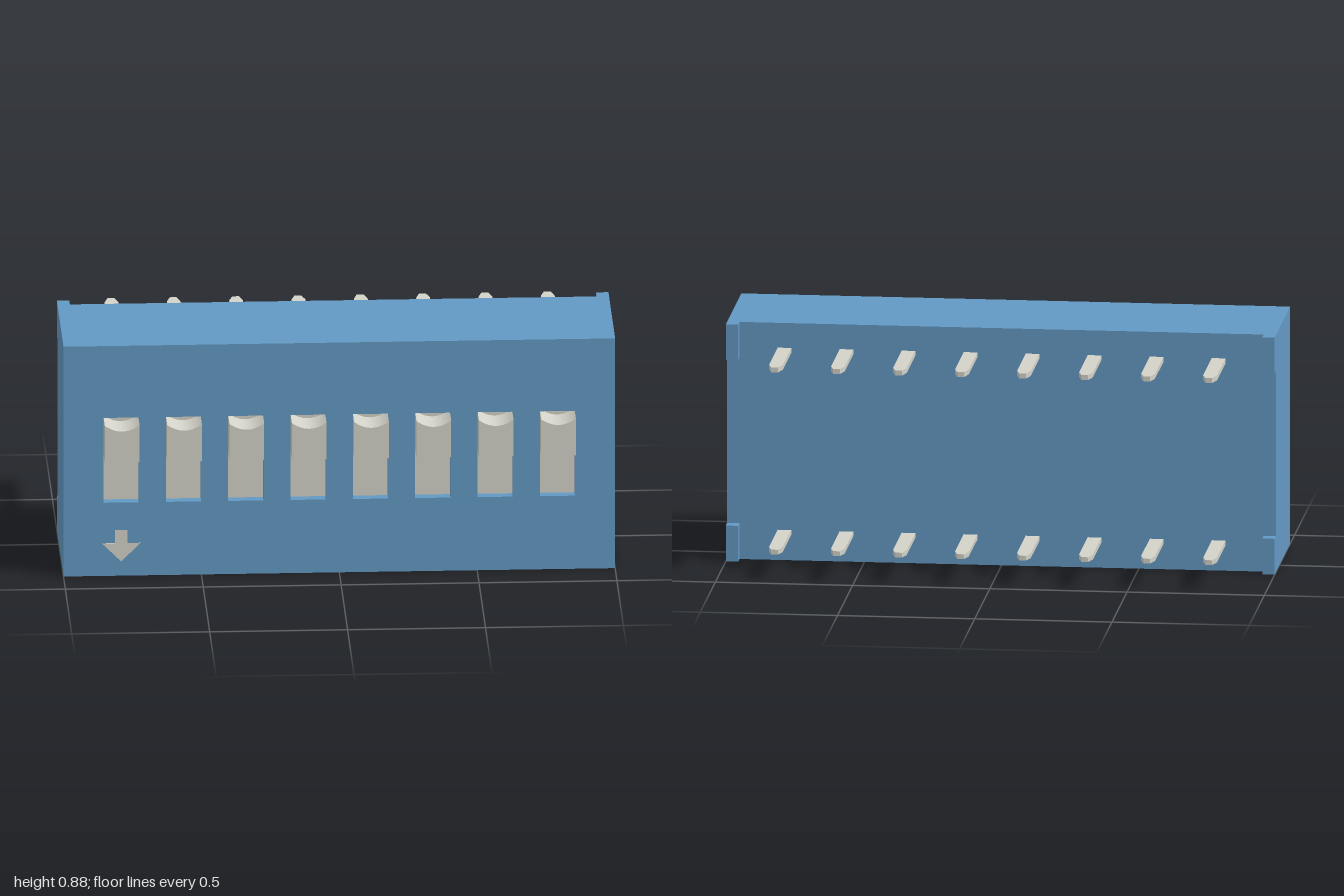
import * as THREE from 'three';

const blue = new THREE.MeshStandardMaterial({ color: 0x6399c3 });
const pale = new THREE.MeshStandardMaterial({ color: 0xd3d2c8 });

const FRONT = 0.36, FLOOR = 0.32, BACK = -0.11, TAB = -0.155, TIP = -0.44;
const HEIGHT = 0.88, COUNT = 8, PITCH = 0.226;

function add(parent, name, geometry, material, x = 0, y = 0, z = 0) {
  const mesh = new THREE.Mesh(geometry, material);
  mesh.name = name;
  mesh.position.set(x, y, z);
  parent.add(mesh);
  return mesh;
}

function polygon(points) {
  return new THREE.Shape(points.map(([x, y]) => new THREE.Vector2(x, y)));
}

function extrude(shape, depth) {
  return new THREE.ExtrudeGeometry(shape, { depth, bevelEnabled: false, curveSegments: 12 });
}

function rectangle(x0, y0, x1, y1) {
  return [[x0, y0], [x1, y0], [x1, y1], [x0, y1]];
}

export function createModel() {
  const model = new THREE.Group();
  model.name = 'slideSwitchBlock';
  const columns = Array.from({ length: COUNT }, (_, i) => (i - (COUNT - 1) / 2) * PITCH);

  // Housing: solid rear and a front plate pierced by the slots
  const housing = new THREE.Group();
  housing.name = 'housing';
  model.add(housing);
  add(housing, 'housingBody', new THREE.BoxGeometry(2, HEIGHT, FLOOR - BACK), blue,
    0, HEIGHT / 2, (FLOOR + BACK) / 2);
  const plate = polygon(rectangle(-1, 0, 1, HEIGHT));
  for (const x of columns) {
    plate.holes.push(polygon(rectangle(x - 0.064, 0.28, x + 0.064, 0.605).reverse()));
  }
  add(housing, 'frontPlate', extrude(plate, FRONT - FLOOR), blue, 0, 0, FLOOR);

  // Standoff tabs on the four rear corners
  const tab = new THREE.BoxGeometry(0.045, 0.133, BACK - TAB);
  for (const side of [-1, 1]) {
    for (const y of [0.0665, HEIGHT - 0.0665]) {
      add(housing, 'cornerTab', tab, blue, side * 0.9775, y, (BACK + TAB) / 2);
    }
  }

  // Sliders with scooped top and bottom, each above a pale slot floor
  const profile = new THREE.Shape();
  profile.moveTo(-0.063, 0.46);
  profile.quadraticCurveTo(0, 0.508, 0.063, 0.46);
  profile.lineTo(0.063, 0.602);
  profile.quadraticCurveTo(0, 0.556, -0.063, 0.602);
  profile.closePath();
  const slider = extrude(profile, 0.44 - FLOOR);
  const floor = new THREE.BoxGeometry(0.128, 0.325, 0.004);

  // Flat pins with tapered tips
  const pinShape = polygon([
    [-0.025, -BACK], [0.025, -BACK], [0.025, 0.395],
    [0.012, -TIP], [-0.012, -TIP], [-0.025, 0.395],
  ]);
  const pin = extrude(pinShape, 0.018);
  pin.rotateX(-Math.PI / 2);
  pin.translate(0, -0.009, 0);

  for (const x of columns) {
    add(model, 'slotFloor', floor, pale, x, 0.4425, FLOOR);
    add(model, 'slider', slider, pale, x, 0, FLOOR);
    for (const y of [0.103, 0.779]) add(model, 'pin', pin, pale, x, y, 0);
  }

  // Direction arrow inlaid below the first slider
  const arrow = polygon([
    [0, 0.055], [0.07, 0.125], [0.023, 0.125], [0.023, 0.175],
    [-0.023, 0.175], [-0.023, 0.125], [-0.07, 0.125],
  ]);
  add(model, 'directionArrow', extrude(arrow, 0.004), pale, columns[0], 0, FRONT - 0.002);

  return model;
}
